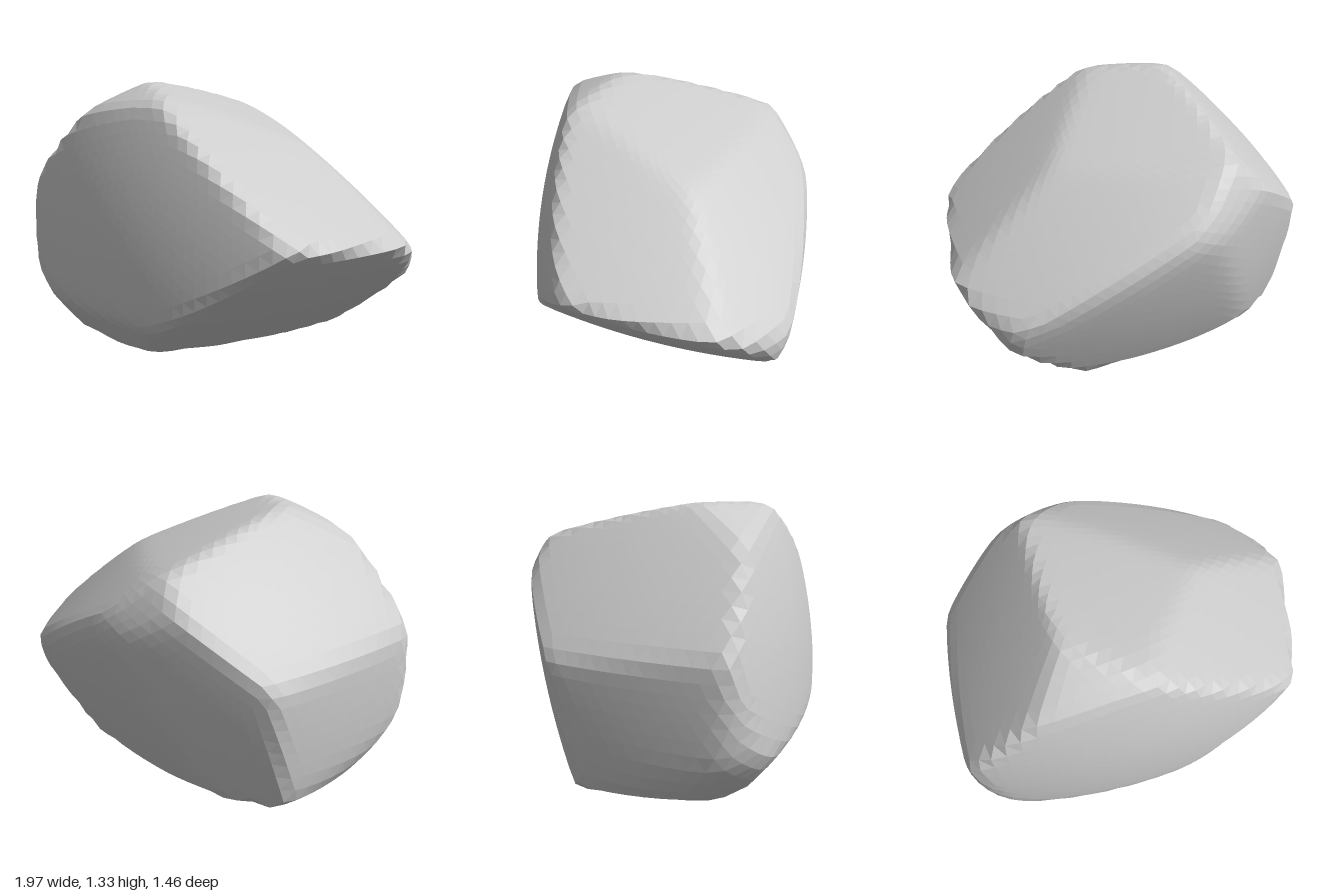
import * as THREE from 'three';

// Slightly bowed faces of the stone: normal x, y, z, distance from the origin, bow radius
const FACES = [
  [0, -1, 0, 0.02, 1000],         // resting face
  [0.57, -0.755, 0.32, 0.182, 4], // undercut below the tip
  [0.575, 0.814, 0.09, 1.1, 8],   // slope down to the tip
  [0.3, 0.927, -0.22, 1.125, 8],  // top
  [0.46, 0.77, -0.44, 1.045, 6],  // rear slope
  [-0.664, 0.714, -0.226, 1.175, 5], // side slope
  [-0.02, 0.2, 0.98, 0.81, 2.7],  // front
  [0, -0.6, 0.8, 0.46, 3],        // front lower bevel
  [-0.5, -0.65, 0.55, 0.61, 3],   // front lower corner
  [-0.8, -0.6, 0, 0.67, 3],       // side lower bevel
  [-0.975, 0, -0.2, 0.925, 4],    // side
  [0.05, -0.34, -0.94, 0.447, 4], // back
  [-0.32, -0.15, -0.93, 0.63, 4], // back corner
  [0.25, 0.1, -0.96, 0.807, 4],   // back towards the tip
  [0.9, 0, 0.43, 0.96, 3],        // blunt end of the tip, front
  [0.84, 0, -0.54, 0.98, 3],      // blunt end of the tip, back
  [-0.1, 0.95, 0.3, 1.38, 3],     // peak bevel
  [-0.7, 0, 0.71, 1.045, 2.5],    // front side corner
  [0, 0.35, -0.937, 0.995, 2],    // back top bevel
].map(([x, y, z, distance, bow]) => ({ normal: new THREE.Vector3(x, y, z).normalize(), distance, bow }));
const CENTRE = new THREE.Vector3(0, 0.6, 0);
const SHARPNESS = 60;

// Distance from the centre to the softly rounded intersection of the faces
function radius(dir) {
  let sum = 0;
  for (const { normal, distance, bow } of FACES) {
    const h = distance - normal.dot(CENTRE);
    const c = normal.dot(dir);
    const inverse = (c + Math.sqrt(c * c + (2 * h * (1 - c * c)) / bow)) / (2 * h);
    sum += inverse ** SHARPNESS;
  }
  return sum ** (-1 / SHARPNESS);
}

export function createModel() {
  const geometry = new THREE.IcosahedronGeometry(1, 14);
  const pos = geometry.attributes.position;
  const v = new THREE.Vector3();
  for (let i = 0; i < pos.count; i++) {
    v.fromBufferAttribute(pos, i).normalize();
    v.multiplyScalar(radius(v)).add(CENTRE);
    pos.setXYZ(i, v.x, Math.max(v.y, 0), v.z); // flat underside on the ground
  }
  geometry.computeVertexNormals();

  const stone = new THREE.MeshStandardMaterial({ color: 0xcccccc, flatShading: true });
  stone.name = 'stone grey';
  const boulder = new THREE.Mesh(geometry, stone);
  boulder.name = 'boulder';
  const group = new THREE.Group();
  group.name = 'rock';
  group.add(boulder);
  return group;
}
